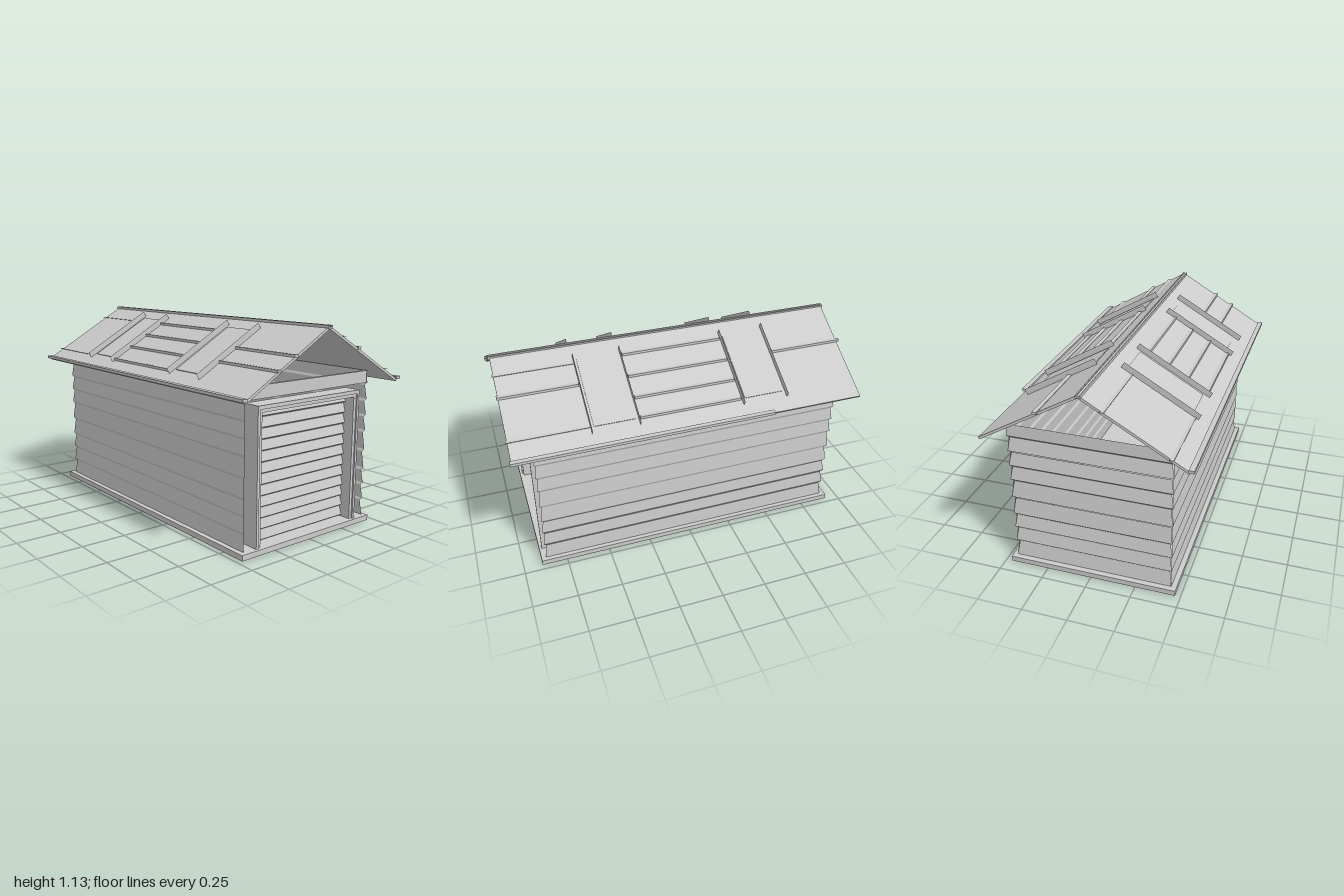
import * as THREE from 'three';

const material = new THREE.MeshStandardMaterial({ color: 0xcccccc, flatShading: true });
const sheet = new THREE.MeshStandardMaterial({ color: 0xcccccc, flatShading: true, side: THREE.DoubleSide });
const PITCH = Math.PI / 6;
const APEX = 1.131;

function box(parent, name, [w, h, d], [x, y, z]) {
  const m = new THREE.Mesh(new THREE.BoxGeometry(w, h, d), material);
  m.name = name;
  m.position.set(x, y, z);
  parent.add(m);
}

// Horizontal board edges; k = 0 at the inner top of a clapboard, 1 at its flared bottom
const leftEdge = (y, k) => [[0.435 + 0.007 * k, y, 0.86 + 0.01 * k], [0.435 + 0.007 * k, y, -0.875 - 0.015 * k]];
const rightEdge = (y, k) => leftEdge(y, k).map(([x, h, z]) => [-x, h, z]).reverse();
const backEdge = (y, k) => [1, -1].map(s => [s * (0.43 + 0.012 * k), y, -0.875 - 0.015 * k]);

// Thin sheet between a lower and an upper edge
function strip(parent, name, [a, b], [d, c]) {
  const g = new THREE.BufferGeometry();
  g.setAttribute('position', new THREE.Float32BufferAttribute([a, b, c, a, c, d].flat(), 3));
  g.computeVertexNormals();
  const m = new THREE.Mesh(g, sheet);
  m.name = name;
  parent.add(m);
}

// Flared clapboards with narrow steps between them; some steps at the back are open slits
function buildWalls() {
  const walls = new THREE.Group();
  walls.name = 'walls';
  const bottoms = [0.03, 0.13, 0.22, 0.308, 0.415, 0.525, 0.613, 0.70, 0.79];
  const openAbove = [0, 1, 3, 6];
  bottoms.forEach((y, i) => {
    const last = i === bottoms.length - 1;
    const top = last ? 0.857 : bottoms[i + 1] - 0.014;
    for (const edge of [leftEdge, rightEdge, backEdge]) {
      strip(walls, 'clapboard', edge(y, 1), edge(top, last ? 0.7 : 0));
      if (last || (edge === backEdge && openAbove.includes(i))) continue;
      strip(walls, 'clapboardStep', edge(top, 0), edge(bottoms[i + 1], 1));
    }
  });
  box(walls, 'frontHeader', [0.88, 0.067, 0.02], [0, 0.8235, 0.855]);
  return walls;
}

// Three-sided door surround
function surround(name, outX, outY, inX, inY, z0, z1) {
  const s = new THREE.Shape([
    [-outX, 0.03], [-inX, 0.03], [-inX, inY], [inX, inY],
    [inX, 0.03], [outX, 0.03], [outX, outY], [-outX, outY],
  ].map(p => new THREE.Vector2(...p)));
  const m = new THREE.Mesh(new THREE.ExtrudeGeometry(s, { depth: z1 - z0, bevelEnabled: false }), material);
  m.position.z = z0;
  m.name = name;
  return m;
}

// Slatted door, a saw-tooth profile swept across the opening
function buildDoor() {
  const door = new THREE.Group();
  door.name = 'door';
  door.add(surround('outerFrame', 0.367, 0.76, 0.352, 0.74, 0.78, 0.88));
  door.add(surround('innerFrame', 0.352, 0.74, 0.333, 0.722, 0.78, 0.872));
  const s = new THREE.Shape();
  s.moveTo(0.785, 0.03);
  for (let i = 0; i < 12; i++) {
    const y = 0.03 + i * 0.0592;
    s.lineTo(0.80, y);
    s.lineTo(0.815, y + 0.01);
  }
  s.lineTo(0.80, 0.735);
  s.lineTo(0.785, 0.735);
  const slats = new THREE.Mesh(new THREE.ExtrudeGeometry(s, { depth: 0.67, bevelEnabled: false }), material);
  slats.name = 'doorSlats';
  slats.rotation.y = -Math.PI / 2;
  slats.position.x = 0.335;
  door.add(slats);
  return door;
}

// One roof slope; side is +1 or -1, batten lists give distances from the ridge
function buildSlope(side, { middle, front, back, flatFront, flatBack, eaveBack }) {
  const slope = new THREE.Group();
  slope.name = side > 0 ? 'leftRoofSlope' : 'rightRoofSlope';

  // Pitched parts, built flat and tilted together
  const pitched = new THREE.Group();
  pitched.name = 'pitchedRoof';
  pitched.position.y = APEX;
  pitched.rotation.z = -side * PITCH;
  slope.add(pitched);
  box(pitched, 'roofPanel', [0.63, 0.014, 1.97], [side * 0.315, -0.007, 0]);

  // Roof windows: a flat pane between two thin upright cheeks
  for (const z of [-0.425, 0.425]) {
    box(pitched, 'roofWindowPane', [0.41, 0.008, 0.225], [side * 0.306, 0, z]);
    for (const e of [-1, 1]) {
      const cheek = new THREE.Mesh(new THREE.PlaneGeometry(0.475, 0.036), sheet);
      cheek.name = 'roofWindowCheek';
      cheek.position.set(side * 0.312, 0.016, z + e * 0.13);
      pitched.add(cheek);
    }
  }

  // Level battens resting on the slope, the flat ones barely above it
  const battens = (xs, h, z0, z1) => xs.forEach(x => box(slope, 'batten', [0.022, h, z1 - z0],
    [side * x, APEX - x * Math.tan(PITCH) + 0.003, (z0 + z1) / 2]));
  battens(middle, 0.014, -0.29, 0.285);
  battens(front, 0.014, 0.56, 0.992);
  battens(back, 0.014, -0.997, -0.56);
  battens(flatFront, 0.002, 0.56, 0.992);
  battens(flatBack, 0.002, -0.997, -0.56);
  box(slope, 'eaveBatten', [0.028, 0.016, 0.992 - eaveBack], [side * 0.549, 0.823, (0.992 + eaveBack) / 2]);
  return slope;
}

export function createModel() {
  const model = new THREE.Group();
  model.name = 'shed';
  box(model, 'baseSlab', [0.937, 0.03, 1.815], [-0.002, 0.015, -0.013]);
  model.add(buildWalls(), buildDoor());

  const roof = new THREE.Group();
  roof.name = 'roof';
  roof.add(buildSlope(1, {
    middle: [0.10, 0.22, 0.335, 0.44], front: [0.22], back: [0.22],
    flatFront: [0.105, 0.44], flatBack: [], eaveBack: -0.45,
  }));
  roof.add(buildSlope(-1, {
    middle: [0.12, 0.23, 0.34, 0.455], front: [0.23, 0.34], back: [],
    flatFront: [], flatBack: [0.12, 0.455], eaveBack: -0.99,
  }));
  // Ridge channel: two lips on a low base
  box(roof, 'ridgeBase', [0.026, 0.008, 1.99], [-0.005, 1.124, 0]);
  for (const x of [-0.015, 0.005]) box(roof, 'ridgeLip', [0.006, 0.016, 1.99], [x, 1.127, 0]);
  model.add(roof);
  return model;
}
